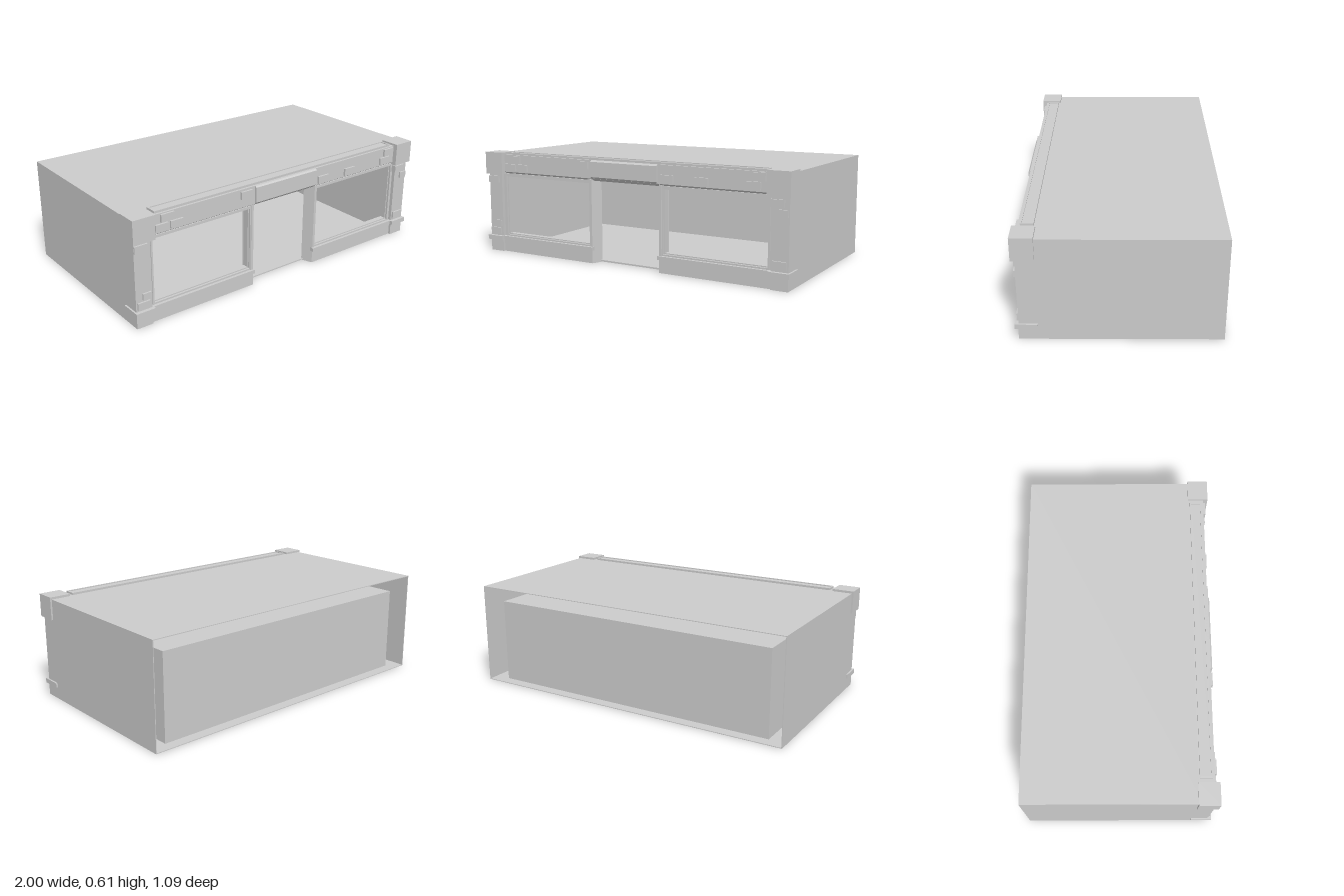
import * as THREE from 'three';

const mat = new THREE.MeshStandardMaterial({ color: 0xcccccc, flatShading: true, side: THREE.DoubleSide });

export function createModel() {
  const model = new THREE.Group();
  const add = (name, geo) => {
    const m = new THREE.Mesh(geo, mat);
    m.name = name;
    model.add(m);
    return m;
  };
  // box given by its limits on each axis
  const box = (name, x0, x1, y0, y1, z0, z1) =>
    add(name, new THREE.BoxGeometry(Math.abs(x1 - x0), y1 - y0, z1 - z0))
      .position.set((x0 + x1) / 2, (y0 + y1) / 2, (z0 + z1) / 2);
  const outline = (pts) => new THREE.Shape(pts.map(([a, b]) => new THREE.Vector2(a, b)));
  const extrude = (shape, depth) => new THREE.ExtrudeGeometry(shape, { depth, bevelEnabled: false });
  const rect = (x0, x1, y0, y1) => [[x0, y0], [x1, y0], [x1, y1], [x0, y1]];
  // upright rectangular frame: outer and inner limits
  const frame = (name, outer, inner, z0, z1) => {
    const s = outline(rect(...outer));
    s.holes.push(outline(rect(...inner)));
    add(name, extrude(s, z1 - z0)).position.z = z0;
  };
  // profile in (z, y) swept along x, centred
  const sweep = (name, pts, w) =>
    add(name, extrude(outline(pts), w).translate(0, 0, -w / 2).rotateY(-Math.PI / 2));

  // Outer shell, open at the back
  const T = 0.004;
  box('roof', -0.99, 0.99, 0.6 - T, 0.6, -0.545, 0.45);
  box('base', -0.99, 0.99, 0, T, -0.545, 0.45);

  // Inner room, open towards the shop front
  box('roomFloor', -0.89, 0.89, 0.005, 0.012, -0.485, 0.46);
  box('roomCeiling', -0.89, 0.89, 0.499, 0.505, -0.485, 0.46);
  box('roomBackWall', -0.89, 0.89, 0.005, 0.505, -0.485, -0.479);

  for (const s of [-1, 1]) {
    box('sideWall', s * (0.99 - T), s * 0.99, 0, 0.6, -0.545, 0.525);
    box('roomSideWall', s * 0.884, s * 0.89, 0.005, 0.505, -0.485, 0.46);

    // Corner piers with foot, ledge and capital
    box('cornerPier', s * 0.893, s * 0.989, 0, 0.49, 0.43, 0.525);
    box('pierFoot', s * 0.893, s * 0.99, 0, 0.07, 0.43, 0.528);
    box('pierLedge', s * 0.885, s * 1.0, 0.07, 0.097, 0.425, 0.545);
    box('capital', s * 0.872, s * 1.0, 0.48, 0.613, 0.425, 0.545);
    box('pierReturn', s * 0.876, s * 0.893, 0.07, 0.49, 0.44, 0.505);

    // Wall below the window and its sill
    box('plinth', s * 0.225, s * 0.893, 0, 0.08, 0.45, 0.515);
    box('windowSill', s * 0.22, s * 0.885, 0.075, 0.097, 0.45, 0.527);

    // Window frame in two steps
    frame('windowFrame', [s * 0.232, s * 0.88, 0.09, 0.485],
      [s * 0.246, s * 0.87, 0.106, 0.47], 0.455, 0.51);
    frame('windowLip', [s * 0.24, s * 0.875, 0.1, 0.475],
      [s * 0.252, s * 0.864, 0.112, 0.464], 0.465, 0.498);

    // Splayed door jamb
    add('doorJamb', extrude(outline([
      [s * 0.2, -0.45], [s * 0.25, -0.45], [s * 0.24, -0.515], [s * 0.225, -0.515],
    ]), 0.49).rotateX(-Math.PI / 2));
  }

  // Header with sloped underside, and the projecting centre board over the door
  sweep('header', [[0.43, 0.48], [0.495, 0.48], [0.518, 0.495], [0.518, 0.6], [0.43, 0.6]], 1.75);
  sweep('centreBoard', [[0.45, 0.485], [0.505, 0.485], [0.53, 0.505], [0.53, 0.592], [0.522, 0.6], [0.45, 0.6]], 0.44);

  // Raised parapet strip with a shallow trough along the top
  const rim = outline(rect(-0.85, 0.85, -0.505, -0.435));
  rim.holes.push(outline(rect(-0.84, 0.84, -0.497, -0.443)));
  add('parapetRim', extrude(rim, 0.012).rotateX(-Math.PI / 2)).position.y = 0.6;
  box('parapetTop', -0.84, 0.84, 0.598, 0.607, 0.443, 0.497);

  // Scattered raised bricks: centre x, y, width, height
  const brick = ([x, y, w, h], front) =>
    box('brick', x - w / 2, x + w / 2, y - h / 2, y + h / 2, 0.5, front);
  [[-0.785, 0.573, 0.08, 0.043], [-0.73, 0.525, 0.077, 0.04], [-0.82, 0.525, 0.076, 0.04],
    [-0.28, 0.567, 0.077, 0.043], [0.28, 0.525, 0.08, 0.043], [0.49, 0.525, 0.08, 0.043],
    [0.82, 0.573, 0.077, 0.043], [0.79, 0.525, 0.08, 0.043]].forEach((b) => brick(b, 0.53));
  [[-0.95, 0.447, 0.078, 0.04], [-0.925, 0.175, 0.05, 0.037], [-0.945, 0.128, 0.075, 0.038],
    [0.925, 0.447, 0.077, 0.04], [0.96, 0.398, 0.05, 0.037], [0.94, 0.13, 0.078, 0.045]]
    .forEach((b) => brick(b, 0.535));

  return model;
}
